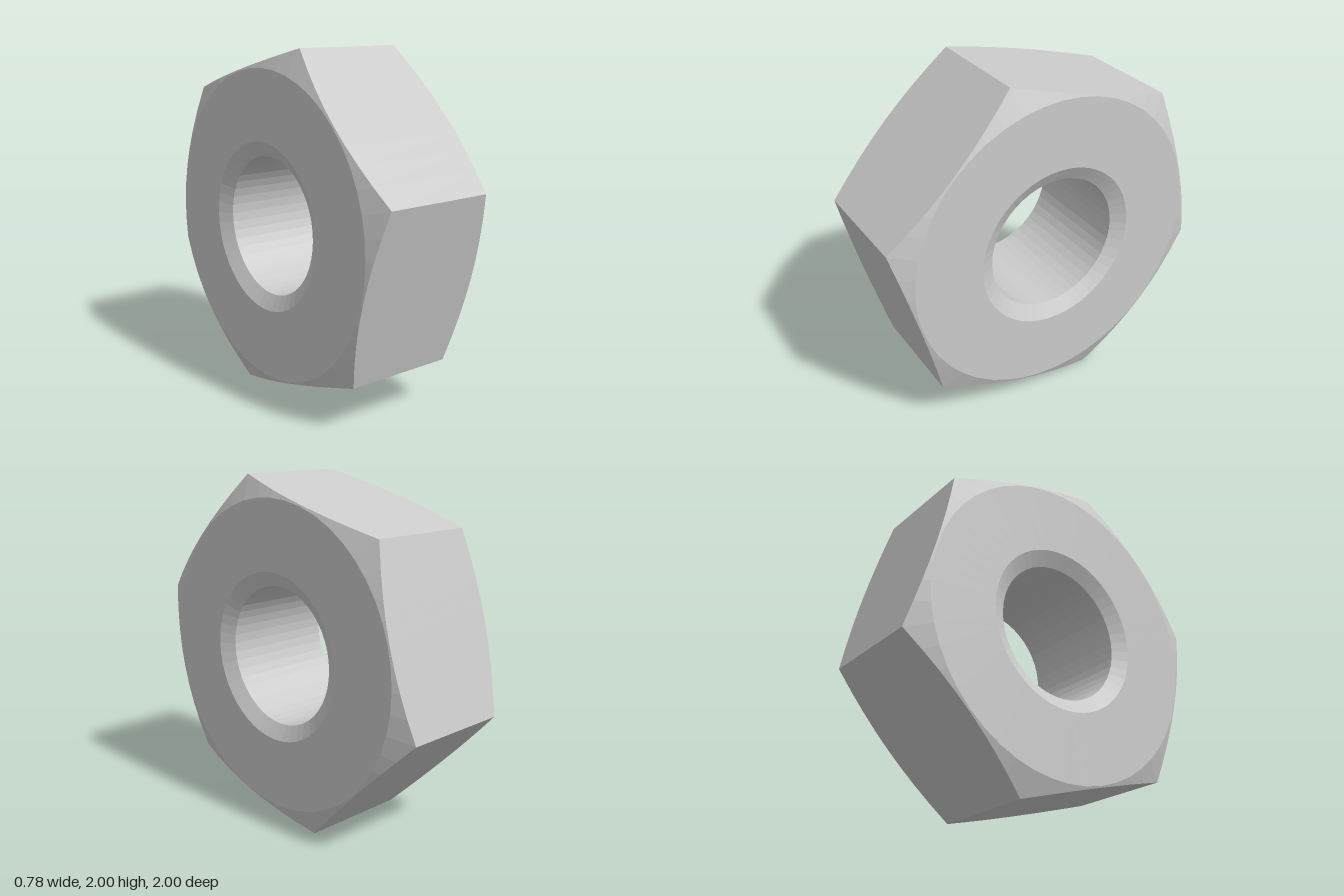
import * as THREE from 'three';

const SEGMENTS = 48;          // divisible by 6 so the hexagon corners are exact
const CORNER_ANGLE = Math.PI / 12;
const APOTHEM = 0.8966;       // centre to flat
const HALF = 0.389;           // half thickness
const FACE_RADIUS = 0.888;    // round land on each end
const CHAMFER_SLOPE = 0.43;
const BORE = 0.4, SINK = 0.485, SINK_DEPTH = 0.048;

// Rings map an angle index to [axial offset, radius]
const circle = (x, r) => () => [x, r];
const hexEdge = (side) => (j) => {
  const local = ((j / SEGMENTS) * Math.PI * 2) % (Math.PI / 3);
  const r = APOTHEM / Math.cos(local - Math.PI / 6);
  return [side * (HALF - CHAMFER_SLOPE * (r - FACE_RADIUS)), r];
};

// Closed strip of faces between two rings around the x axis
function band(ringA, ringB) {
  const point = (ring, j) => {
    const [x, r] = ring(j % SEGMENTS);
    const a = CORNER_ANGLE + (j / SEGMENTS) * Math.PI * 2;
    return [x, r * Math.sin(a), r * Math.cos(a)];
  };
  const positions = [];
  for (let j = 0; j < SEGMENTS; j++) {
    const a = point(ringA, j), b = point(ringB, j);
    const c = point(ringB, j + 1), d = point(ringA, j + 1);
    positions.push(...a, ...b, ...c, ...a, ...c, ...d);
  }
  const geometry = new THREE.BufferGeometry();
  geometry.setAttribute('position', new THREE.Float32BufferAttribute(positions, 3));
  geometry.computeVertexNormals();
  return geometry;
}

export function createModel() {
  const nut = new THREE.Group();
  nut.name = 'hexNut';
  nut.position.y = 1;
  const material = new THREE.MeshStandardMaterial({ color: 0xcccccc, flatShading: true });

  // Section loop: outside, one end, through the bore, other end
  const rings = [
    hexEdge(-1), hexEdge(1),
    circle(HALF, FACE_RADIUS), circle(HALF, SINK), circle(HALF - SINK_DEPTH, BORE),
    circle(-HALF + SINK_DEPTH, BORE), circle(-HALF, SINK), circle(-HALF, FACE_RADIUS),
  ];
  const names = [
    'hexFlats', 'leftChamfer', 'leftEndFace', 'leftCountersink',
    'bore', 'rightCountersink', 'rightEndFace', 'rightChamfer',
  ];
  names.forEach((name, i) => {
    const mesh = new THREE.Mesh(band(rings[i], rings[(i + 1) % rings.length]), material);
    mesh.name = name;
    nut.add(mesh);
  });

  const model = new THREE.Group();
  model.name = 'model';
  model.add(nut);
  return model;
}
